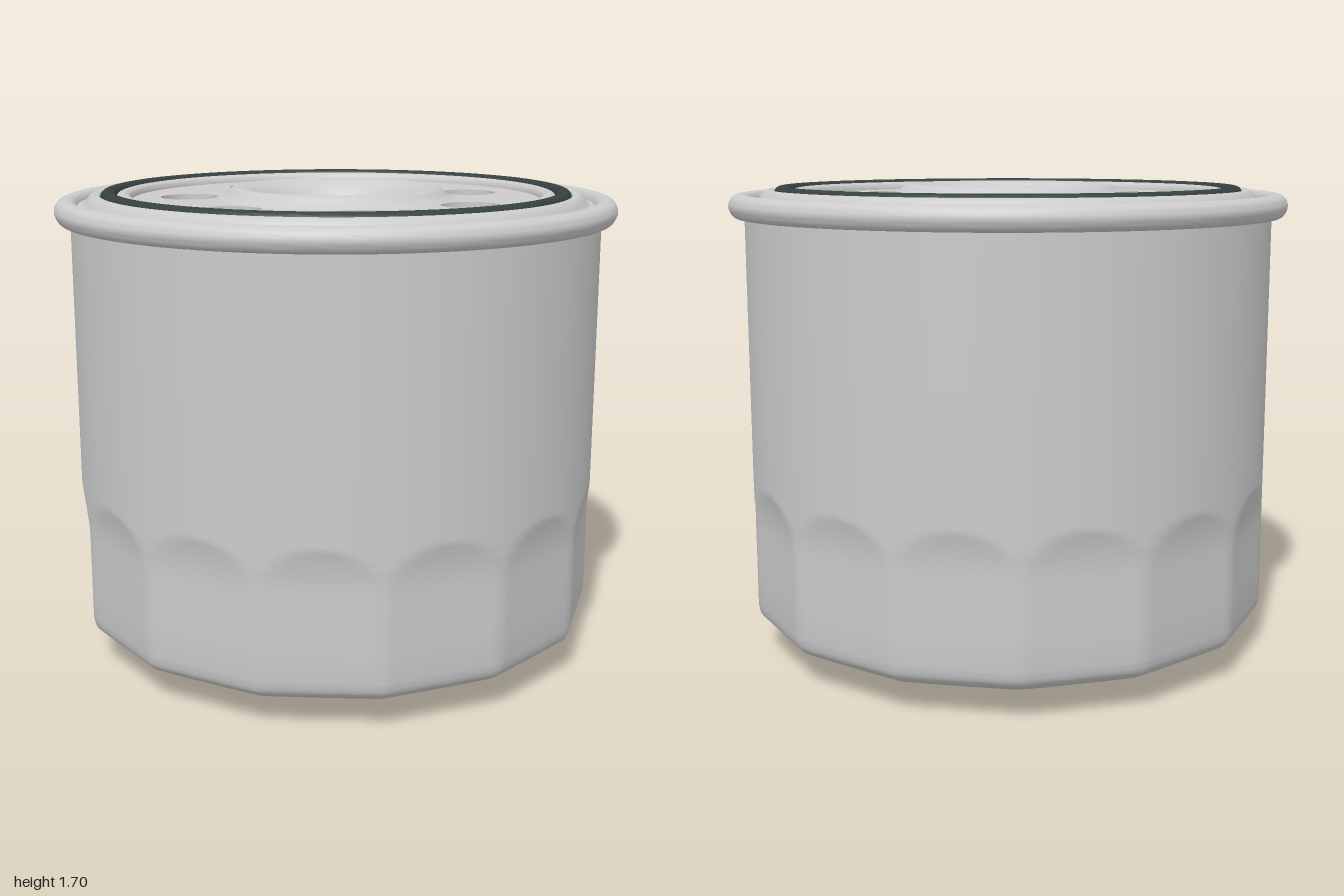
import * as THREE from 'three';
import { toCreasedNormals } from 'three/addons/utils/BufferGeometryUtils.js';

const R = 0.945;          // can radius
const FLUTES = 14;        // grip flats around the base
const grey = new THREE.MeshStandardMaterial({ color: 0xcccccc, side: THREE.DoubleSide });
const rubber = new THREE.MeshStandardMaterial({ color: 0x364040 });

const pts = (list) => list.map(([x, y]) => new THREE.Vector2(x, y));
const smooth = (list, n) => new THREE.SplineCurve(pts(list)).getPoints(n);

function part(name, geometry, material = grey, crease = 0.6) {
  const mesh = new THREE.Mesh(toCreasedNormals(geometry, crease), material);
  mesh.name = name;
  return mesh;
}

// Move every vertex of a lathe by a rule of radius, height and angle
function reshape(geometry, rule) {
  const p = geometry.attributes.position;
  for (let i = 0; i < p.count; i++) {
    const r = Math.hypot(p.getX(i), p.getZ(i));
    let a = Math.atan2(p.getX(i), p.getZ(i));
    if (a < 0) a += Math.PI * 2;
    const [nr, ny] = rule(r, p.getY(i), a, i);
    p.setXYZ(i, nr * Math.sin(a), ny, nr * Math.cos(a));
  }
  return geometry;
}

// Domed can whose lower wall is pressed into flats with arched tops
function makeCan() {
  const profile = [
    ...pts([[0, 0], [0.42, 0]]),
    ...smooth([[0.43, 0.001], [0.6, 0.026], [0.75, 0.06], [0.85, 0.093], [0.905, 0.118], [0.935, 0.145], [R, 0.185]], 20),
  ];
  for (let y = 0.3; y < 0.47; y += 0.08) profile.push(new THREE.Vector2(R, y));
  for (let y = 0.48; y < 0.68; y += 0.0125) profile.push(new THREE.Vector2(R, y));
  profile.push(new THREE.Vector2(R, 1.1), new THREE.Vector2(R, 1.6));
  const step = (Math.PI * 2) / FLUTES;
  const lathe = new THREE.LatheGeometry(profile, FLUTES * 12);
  return reshape(lathe, (r, y, a) => {
    const t = THREE.MathUtils.clamp((y - 0.48) / 0.17, 0, 1);
    const flat = 0.922 + 0.024 * t * t;
    const ratio = Math.min(1, flat / (R * Math.cos((a % step) - step / 2)));
    return [r * (1 - (1 - ratio) * (r / R) ** 2), y];
  });
}

// Internal screw thread: a zigzag lathe sheared into a helix, clipped at both ends
function makeThread(top, bottom, pitch) {
  const profile = [];
  for (let y = top + pitch; y > bottom - 2 * pitch; y -= pitch) {
    profile.push([0.23, y], [0.225, y - pitch * 0.15], [0.182, y - pitch * 0.5], [0.182, y - pitch * 0.62]);
  }
  const segments = 72;
  const lathe = new THREE.LatheGeometry(pts(profile), segments);
  return reshape(lathe, (r, y, a, i) => {
    const turn = Math.floor(i / profile.length) / segments;
    return [r, THREE.MathUtils.clamp(y + pitch * turn, bottom, top)];
  });
}

// Flat base plate with a ring of inlet holes
function makePlate() {
  const shape = new THREE.Shape().absarc(0, 0, 0.74, 0, Math.PI * 2);
  shape.holes.push(new THREE.Path().absarc(0, 0, 0.4, 0, Math.PI * 2, true));
  for (let i = 0; i < 7; i++) {
    const a = -Math.PI / 2 + (i * Math.PI * 2) / 7;
    shape.holes.push(new THREE.Path().absarc(0.53 * Math.cos(a), 0.53 * Math.sin(a), 0.105, 0, Math.PI * 2, true));
  }
  const plate = new THREE.ExtrudeGeometry(shape, { depth: 0.035, bevelEnabled: false, curveSegments: 48 });
  return plate.rotateX(-Math.PI / 2).translate(0, 1.618, 0);
}

export function createModel() {
  const group = new THREE.Group();
  group.name = 'canisterFilter';

  group.add(part('can', makeCan()));

  // Rolled seam at the top of the can
  const bead = smooth([[0.944, 1.58], [0.982, 1.585], [1, 1.62], [0.988, 1.652], [0.96, 1.664], [0.932, 1.657], [0.92, 1.638]], 28);
  group.add(part('rolledRim', new THREE.LatheGeometry(bead, 128)));

  // Seaming ring with the gasket channel and its inner lip
  const ring = [
    ...smooth([[0.92, 1.638], [0.9, 1.642], [0.882, 1.665], [0.865, 1.678], [0.843, 1.676]], 16),
    ...pts([[0.84, 1.672], [0.84, 1.635], [0.78, 1.635], [0.78, 1.672]]),
    ...smooth([[0.777, 1.676], [0.76, 1.681], [0.742, 1.677], [0.733, 1.665], [0.73, 1.645]], 12),
  ];
  group.add(part('gasketChannel', new THREE.LatheGeometry(ring, 128)));

  // Rubber sealing ring
  const seal = smooth([[0.838, 1.636], [0.838, 1.67], [0.828, 1.686], [0.81, 1.69], [0.792, 1.686], [0.782, 1.67], [0.782, 1.636]], 18);
  group.add(part('gasket', new THREE.LatheGeometry(seal, 128), rubber));

  group.add(part('basePlate', makePlate()));

  // Raised collar that funnels down into the thread
  const collar = [
    ...smooth([[0.43, 1.653], [0.4, 1.668], [0.375, 1.69], [0.355, 1.695]], 12),
    ...smooth([[0.352, 1.694], [0.32, 1.688], [0.29, 1.672], [0.265, 1.645], [0.25, 1.62]], 14),
    ...pts([[0.235, 1.612], [0.23, 1.6]]),
  ];
  group.add(part('collar', new THREE.LatheGeometry(collar, 96)));

  group.add(part('thread', makeThread(1.605, 1.3, 0.055), grey, 0.5));

  // Outer wall of the threaded sleeve, inside the can
  const sleeve = pts([[0.182, 1.3], [0.26, 1.3], [0.26, 1.6], [0.3, 1.635], [0.41, 1.635]]);
  group.add(part('sleeve', new THREE.LatheGeometry(sleeve, 64)));

  return group;
}
